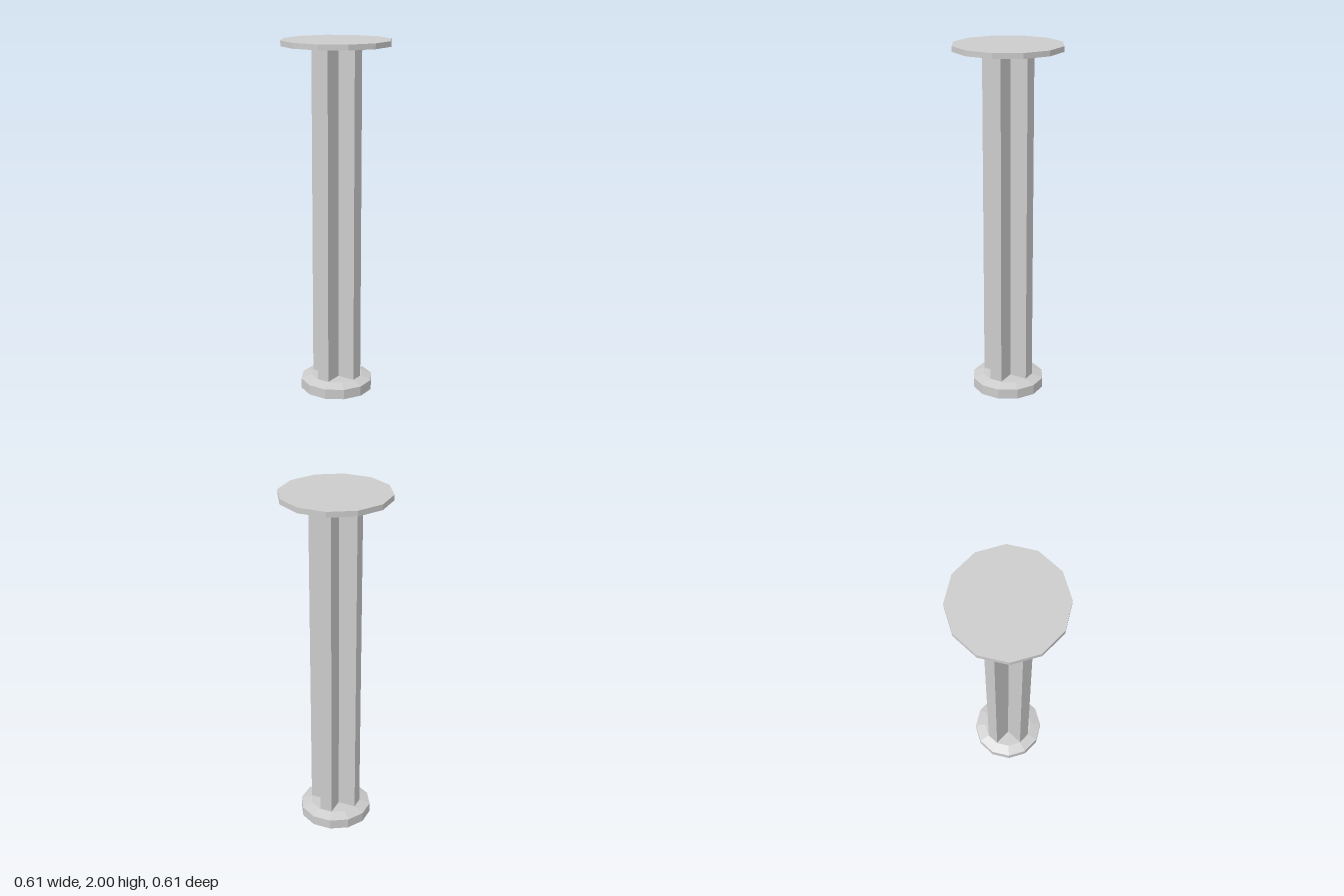
import * as THREE from 'three';

const material = new THREE.MeshStandardMaterial({ color: 0xcccccc, flatShading: true });

// Twelve-sided disc or frustum standing on height y
function disc(name, topRadius, bottomRadius, y, height) {
  const geometry = new THREE.CylinderGeometry(topRadius, bottomRadius, height, 12);
  const mesh = new THREE.Mesh(geometry, material);
  mesh.position.y = y + height / 2;
  mesh.name = name;
  return mesh;
}

// Cross-shaped section: the same three corners repeated for each arm
function crossShape(length, halfWidth) {
  const corners = [[length, -halfWidth], [length, halfWidth], [halfWidth, halfWidth]];
  const points = [];
  for (let arm = 0; arm < 4; arm++) {
    for (const [x, y] of corners) {
      points.push(new THREE.Vector2(x, y).rotateAround(new THREE.Vector2(), arm * Math.PI / 2));
    }
  }
  return new THREE.Shape(points);
}

export function createModel() {
  const model = new THREE.Group();
  model.name = 'pedestal';

  // Base plate with a bevelled upper edge
  model.add(disc('basePlate', 0.207, 0.207, 0, 0.057));
  model.add(disc('baseBevel', 0.147, 0.207, 0.057, 0.02));

  // Cross-section column, turned slightly about its axis
  const columnGeometry = new THREE.ExtrudeGeometry(crossShape(0.14, 0.0365), {
    depth: 1.9, bevelEnabled: false,
  });
  columnGeometry.rotateX(-Math.PI / 2);
  const column = new THREE.Mesh(columnGeometry, material);
  column.name = 'column';
  column.position.y = 0.075;
  column.rotation.y = THREE.MathUtils.degToRad(15);
  model.add(column);

  // Wide top plate
  model.add(disc('topPlate', 0.305, 0.305, 1.97, 0.03));

  return model;
}
